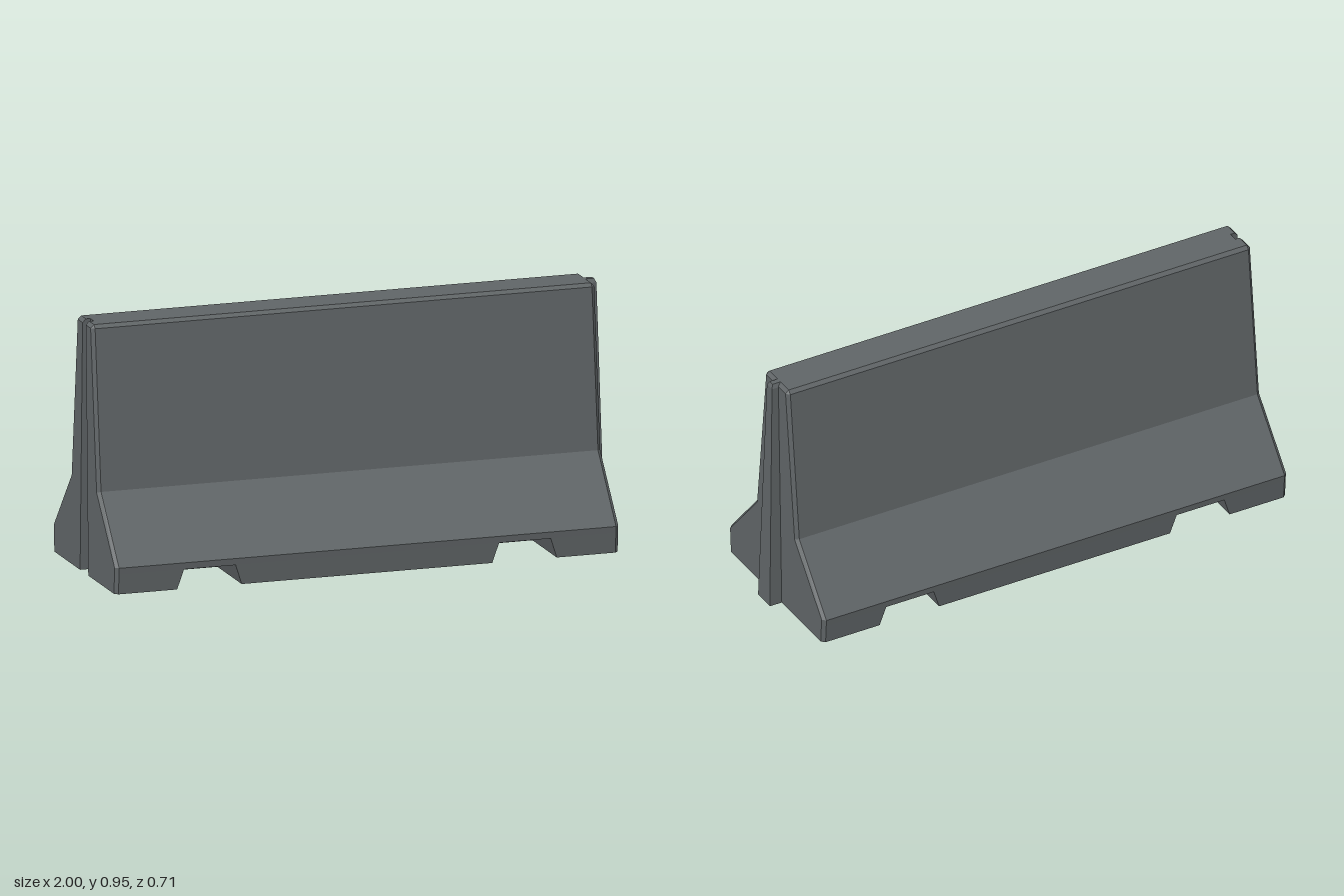
import * as THREE from 'three';

const concrete = new THREE.MeshStandardMaterial({ color: 0x5f6466 });
concrete.name = 'concrete grey';

// Half cross-section as [y, z], and the smaller one at the bevelled ends
const PROFILE = [[0, 0.348], [0.075, 0.353], [0.1, 0.355], [0.34, 0.152], [0.94, 0.085], [0.953, 0.072]];
const END = [[0, 0.335], [0.075, 0.34], [0.1, 0.342], [0.335, 0.14], [0.94, 0.072], [0.94, 0.072]];
const X0 = -1, X1 = -0.987, X2 = 0.937, X3 = 0.95, TOP = 0.953;
const POCKETS = [-0.635, 0.585], POCKET_HALF = 0.125, POCKET_TAPER = 0.025, POCKET_TOP = 0.075, POCKET_Z = 0.075;

const lerp = THREE.MathUtils.lerp;
const grooveZ = y => lerp(0.046, 0.018, y / TOP);
const grooveX = y => lerp(-0.945, -0.97, y / TOP);

// Collects quads, mirrors each one front to back and turns it to face "out"
function mirroredSurface(build) {
  const positions = [];
  const quad = (a, b, c, d, out) => {
    for (const s of [1, -1]) {
      const p = [a, b, c, d].map(v => new THREE.Vector3(v[0], v[1], v[2] * s));
      const normal = p[2].clone().sub(p[0]).cross(p[3].clone().sub(p[1]));
      if (normal.dot(new THREE.Vector3(out[0], out[1], out[2] * s)) < 0) p.reverse();
      for (const i of [0, 1, 2, 0, 2, 3]) positions.push(...p[i].toArray());
    }
  };
  build(quad);
  const geometry = new THREE.BufferGeometry();
  geometry.setAttribute('position', new THREE.Float32BufferAttribute(positions, 3));
  geometry.computeVertexNormals();
  return geometry;
}

function mesh(name, geometry) {
  const m = new THREE.Mesh(geometry, concrete);
  m.name = name;
  return m;
}

// Sloping sides, bevelled ends and top
function buildShell(quad) {
  for (let i = 0; i < PROFILE.length - 1; i++) {
    const [ya, za] = PROFILE[i], [yb, zb] = PROFILE[i + 1];
    const [ea, fa] = END[i], [eb, fb] = END[i + 1];
    const out = [0, zb < za ? za - zb : 0, 1];
    if (i > 0) quad([X1, ya, za], [X2, ya, za], [X2, yb, zb], [X1, yb, zb], out);
    quad([X0, ea, fa], [X1, ya, za], [X1, yb, zb], [X0, eb, fb], [-1, 0, 1]);
    quad([X3, ea, fa], [X2, ya, za], [X2, yb, zb], [X3, eb, fb], [1, 0, 1]);
    if (i === PROFILE.length - 2) continue;
    // End faces, the -x one open for the groove
    quad([X3, ea, 0], [X3, ea, fa], [X3, eb, fb], [X3, eb, 0], [1, 0, 0]);
    quad([X0, ea, grooveZ(ea)], [X0, ea, fa], [X0, eb, fb], [X0, eb, grooveZ(eb)], [-1, 0, 0]);
  }
  const zt = 0.072, yt = 0.94, g = grooveZ(TOP), gx = grooveX(TOP), up = [0, 1, 0];
  quad([gx, TOP, 0], [X2, TOP, 0], [X2, TOP, zt], [gx, TOP, zt], up);
  quad([X1, TOP, g], [gx, TOP, g], [gx, TOP, zt], [X1, TOP, zt], up);
  quad([X2, TOP, 0], [X3, yt, 0], [X3, yt, zt], [X2, TOP, zt], up);
  quad([X1, TOP, g], [X0, yt, g], [X0, yt, zt], [X1, TOP, zt], up);
}

// Tapered vertical slot that receives the next barrier's tongue
function buildGroove(quad) {
  const yt = 0.94, g = grooveZ(yt), gt = grooveZ(TOP), xt = grooveX(TOP);
  quad([X0, 0, grooveZ(0)], [grooveX(0), 0, grooveZ(0)], [grooveX(yt), yt, g], [X0, yt, g], [0, 0, -1]);
  quad([X0, yt, g], [grooveX(yt), yt, g], [xt, TOP, gt], [X1, TOP, gt], [0, 0, -1]);
  quad([grooveX(0), 0, 0], [grooveX(0), 0, grooveZ(0)], [xt, TOP, gt], [xt, TOP, 0], [-1, 0, 0]);
}

// Underside and lower skirt, broken by the lifting pockets
function buildBase(quad) {
  const down = [0, -1, 0], g = grooveZ(0), gx = grooveX(0);
  const z0 = PROFILE[0][1], z1 = PROFILE[1][1], ze = END[0][1];
  quad([gx, 0, 0], [X3, 0, 0], [X3, 0, POCKET_Z], [gx, 0, POCKET_Z], down);
  quad([X0, 0, g], [gx, 0, g], [gx, 0, POCKET_Z], [X0, 0, POCKET_Z], down);
  quad([X0, 0, POCKET_Z], [X1, 0, POCKET_Z], [X1, 0, z0], [X0, 0, ze], down);
  quad([X3, 0, POCKET_Z], [X2, 0, POCKET_Z], [X2, 0, z0], [X3, 0, ze], down);

  // Feet between pockets: [bottom x, top x] at each side
  const cuts = [[X1, X1]];
  for (const x of POCKETS) {
    const h = POCKET_HALF, t = h - POCKET_TAPER;
    cuts.push([x - h, x - t], [x + h, x + t]);
  }
  cuts.push([X2, X2]);
  for (let i = 0; i < cuts.length; i += 2) {
    const [a, at] = cuts[i], [b, bt] = cuts[i + 1];
    quad([a, 0, POCKET_Z], [b, 0, POCKET_Z], [b, 0, z0], [a, 0, z0], down);
    quad([a, 0, z0], [b, 0, z0], [bt, POCKET_TOP, z1], [at, POCKET_TOP, z1], [0, 0, 1]);
  }
  // Pocket walls and ceilings
  for (let i = 1; i < cuts.length - 1; i += 2) {
    const [a, at] = cuts[i], [b, bt] = cuts[i + 1], y = POCKET_TOP, zi = POCKET_Z;
    quad([at, y, zi], [bt, y, zi], [bt, y, z1], [at, y, z1], down);
    quad([a, 0, zi], [b, 0, zi], [bt, y, zi], [at, y, zi], [0, 0, 1]);
    quad([a, 0, zi], [a, 0, z0], [at, y, z1], [at, y, zi], [1, 0, 0]);
    quad([b, 0, zi], [b, 0, z0], [bt, y, z1], [bt, y, zi], [-1, 0, 0]);
  }
}

// Tapered tongue on the +x end, with a slightly bevelled tip
function buildTongue(quad) {
  const rows = [[0, 0.044, 1], [0.938, 0.019, 0.977], [TOP, 0.011, 0.97]];
  const xi = X2;
  for (let i = 0; i < 2; i++) {
    const [ya, za, xa] = rows[i], [yb, zb, xb] = rows[i + 1];
    quad([xa, ya, 0], [xa, ya, za], [xb, yb, zb], [xb, yb, 0], [1, 0, 0]);
    quad([xi, ya, za], [xa, ya, za], [xb, yb, zb], [xi, yb, zb], [0, 0, 1]);
  }
  const [, z, x] = rows[2];
  quad([xi, TOP, 0], [x, TOP, 0], [x, TOP, z], [xi, TOP, z], [0, 1, 0]);
  quad([X3, 0, 0], [1, 0, 0], [1, 0, 0.044], [X3, 0, 0.044], [0, -1, 0]);
}

export function createModel() {
  const group = new THREE.Group();
  group.name = 'concreteRoadBarrier';
  group.add(
    mesh('barrierBody', mirroredSurface(buildShell)),
    mesh('endGroove', mirroredSurface(buildGroove)),
    mesh('baseWithPockets', mirroredSurface(buildBase)),
    mesh('endTongue', mirroredSurface(buildTongue)),
  );
  return group;
}
